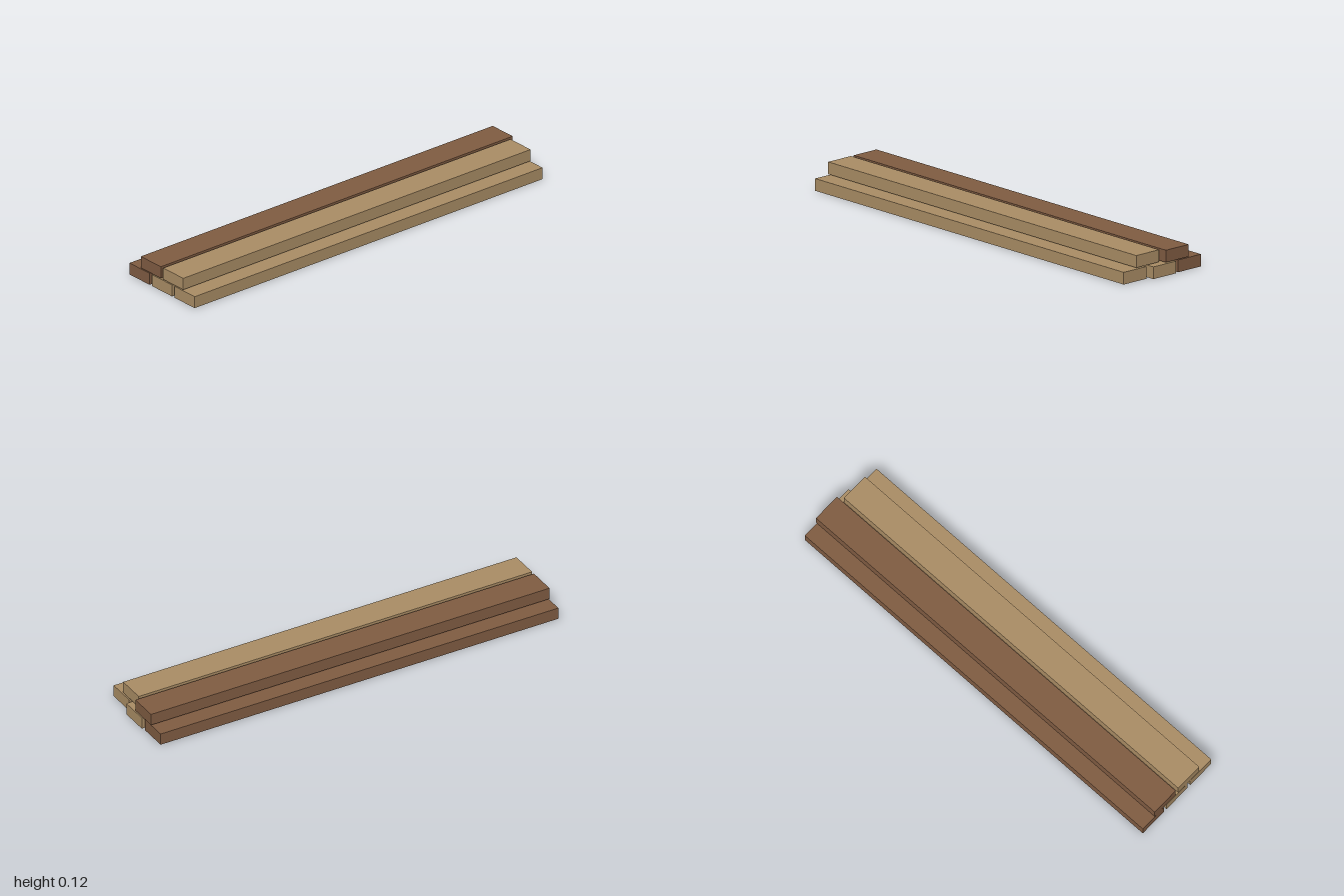
import * as THREE from 'three';

export function createModel() {
  const model = new THREE.Group();
  model.name = 'plankStack';

  const darkWood = new THREE.MeshStandardMaterial({ color: 0x805c42 });
  darkWood.name = 'darkWood';
  const lightWood = new THREE.MeshStandardMaterial({ color: 0xaa8d65 });
  lightWood.name = 'lightWood';

  const width = 0.134, height = 0.055, front = 1;

  // One plank: flush at the front, cut to its own length at the back
  function addPlank(name, material, x, bottom, back) {
    const plank = new THREE.Mesh(new THREE.BoxGeometry(width, height, front - back), material);
    plank.name = name;
    plank.position.set(x, bottom + height / 2, (front + back) / 2);
    model.add(plank);
  }

  // Lower row of three
  addPlank('lowerRightPlank', darkWood, -0.1515, 0, -0.994);
  addPlank('lowerMiddlePlank', lightWood, 0, 0, -1);
  addPlank('lowerLeftPlank', lightWood, 0.1515, 0, -0.975);

  // Upper row of two, resting just above the gaps
  addPlank('upperRightPlank', darkWood, -0.0755, 0.06, -0.998);
  addPlank('upperLeftPlank', lightWood, 0.0748, 0.06, -0.972);

  return model;
}
